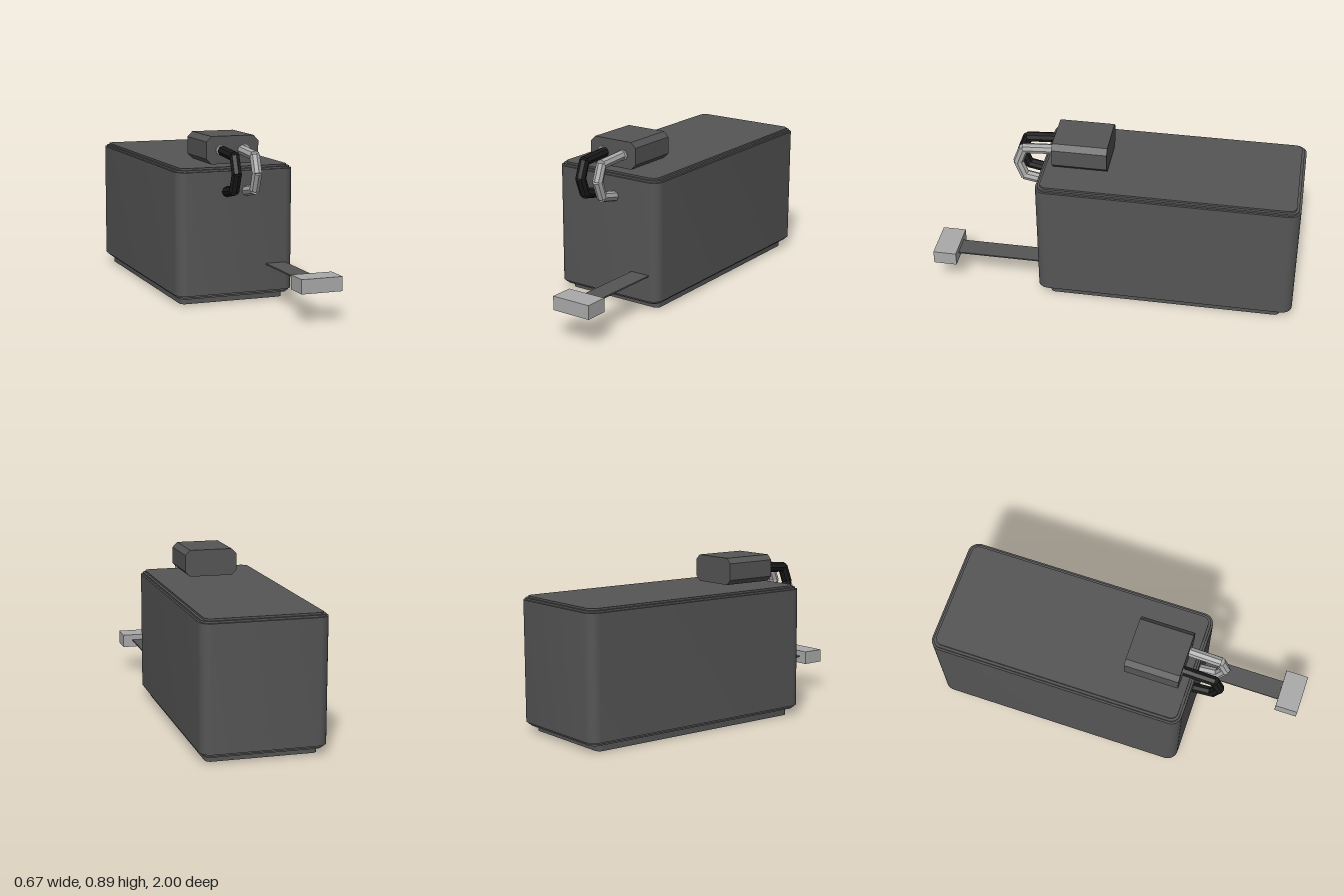
import * as THREE from 'three';
import { toCreasedNormals } from 'three/addons/utils/BufferGeometryUtils.js';

const material = (name, color) => {
  const m = new THREE.MeshStandardMaterial({ color });
  m.name = name;
  return m;
};

export function createModel() {
  const group = new THREE.Group();
  const grey = material('casing grey', 0x555555);
  const light = material('light grey', 0xaaaaaa);
  const black = material('wire black', 0x1a1a1a);

  const add = (name, geometry, mat, x = 0, y = 0, z = 0, parent = group) => {
    const mesh = new THREE.Mesh(geometry, mat);
    mesh.name = name;
    mesh.position.set(x, y, z);
    parent.add(mesh);
    return mesh;
  };

  // Rounded slab lying flat, given by half sizes, corner radius and height
  const slab = (hx, hz, r, h) => {
    const s = new THREE.Shape();
    s.moveTo(hx, -hz + r);
    s.absarc(hx - r, hz - r, r, 0, Math.PI / 2);
    s.absarc(-hx + r, hz - r, r, Math.PI / 2, Math.PI);
    s.absarc(-hx + r, -hz + r, r, Math.PI, Math.PI * 1.5);
    s.absarc(hx - r, -hz + r, r, Math.PI * 1.5, Math.PI * 2);
    const g = new THREE.ExtrudeGeometry(s, { depth: h, bevelEnabled: false, curveSegments: 5 });
    g.rotateX(-Math.PI / 2);
    return toCreasedNormals(g, 0.6);
  };

  // Casing: foot, stepped lower edge, main block, stepped lid
  const layers = [
    ['foot', 0.292, 0.643, 0.03, 0, 0.035],
    ['lowerStep', 0.307, 0.685, 0.04, 0.035, 0.045],
    ['lowerRim', 0.319, 0.697, 0.05, 0.045, 0.055],
    ['casing', 0.33, 0.708, 0.06, 0.055, 0.712],
    ['upperRim', 0.319, 0.697, 0.05, 0.712, 0.722],
    ['lid', 0.305, 0.684, 0.04, 0.722, 0.732],
  ];
  for (const [name, hx, hz, r, y0, y1] of layers)
    add(name, slab(hx, hz, r, y1 - y0), grey, -0.005, y0, -0.292);

  // Power plug with chamfered long edges
  const hw = 0.147, hh = 0.074, c = 0.028;
  const outline = new THREE.Shape([
    [hw, -hh + c], [hw, hh - c], [hw - c, hh], [-hw + c, hh],
    [-hw, hh - c], [-hw, -hh + c], [-hw + c, -hh], [hw - c, -hh],
  ].map(([x, y]) => new THREE.Vector2(x, y)));
  const plug = new THREE.ExtrudeGeometry(outline, { depth: 0.3, bevelEnabled: false });
  add('powerPlug', plug, grey, -0.006, 0.816, 0.05);

  // Contact sockets on the plug face
  for (const x of [-0.073, 0.062]) {
    const g = new THREE.CylinderGeometry(0.027, 0.027, 0.008, 20).rotateX(Math.PI / 2);
    add('plugSocket', g, light, x, 0.815, 0.35);
  }

  // Two wires, each a chain of straight faceted pieces
  const path = [[0.812, 0.34], [0.8, 0.522], [0.712, 0.555], [0.624, 0.522], [0.602, 0.408]];
  const up = new THREE.Vector3(0, 1, 0);
  for (const [name, x, mat] of [['blackWire', -0.0625, black], ['lightWire', 0.0505, light]]) {
    const wire = new THREE.Group();
    wire.name = name;
    group.add(wire);
    for (let i = 0; i < path.length - 1; i++) {
      const a = new THREE.Vector3(x, ...path[i]);
      const b = new THREE.Vector3(x, ...path[i + 1]);
      const d = b.clone().sub(a);
      const g = toCreasedNormals(new THREE.CylinderGeometry(0.028, 0.028, d.length() + 0.008, 8), 0.3);
      const p = a.add(b).multiplyScalar(0.5);
      const piece = add(name + 'Piece', g, mat, p.x, p.y, p.z, wire);
      piece.quaternion.setFromUnitVectors(up, d.normalize());
    }
  }

  // Flat ribbon cable and its end block
  add('ribbonCable', new THREE.BoxGeometry(0.112, 0.008, 0.49), grey, 0.218, 0.2, 0.645);
  add('ribbonConnector', new THREE.BoxGeometry(0.224, 0.075, 0.128), light, 0.22, 0.198, 0.936);

  return group;
}
